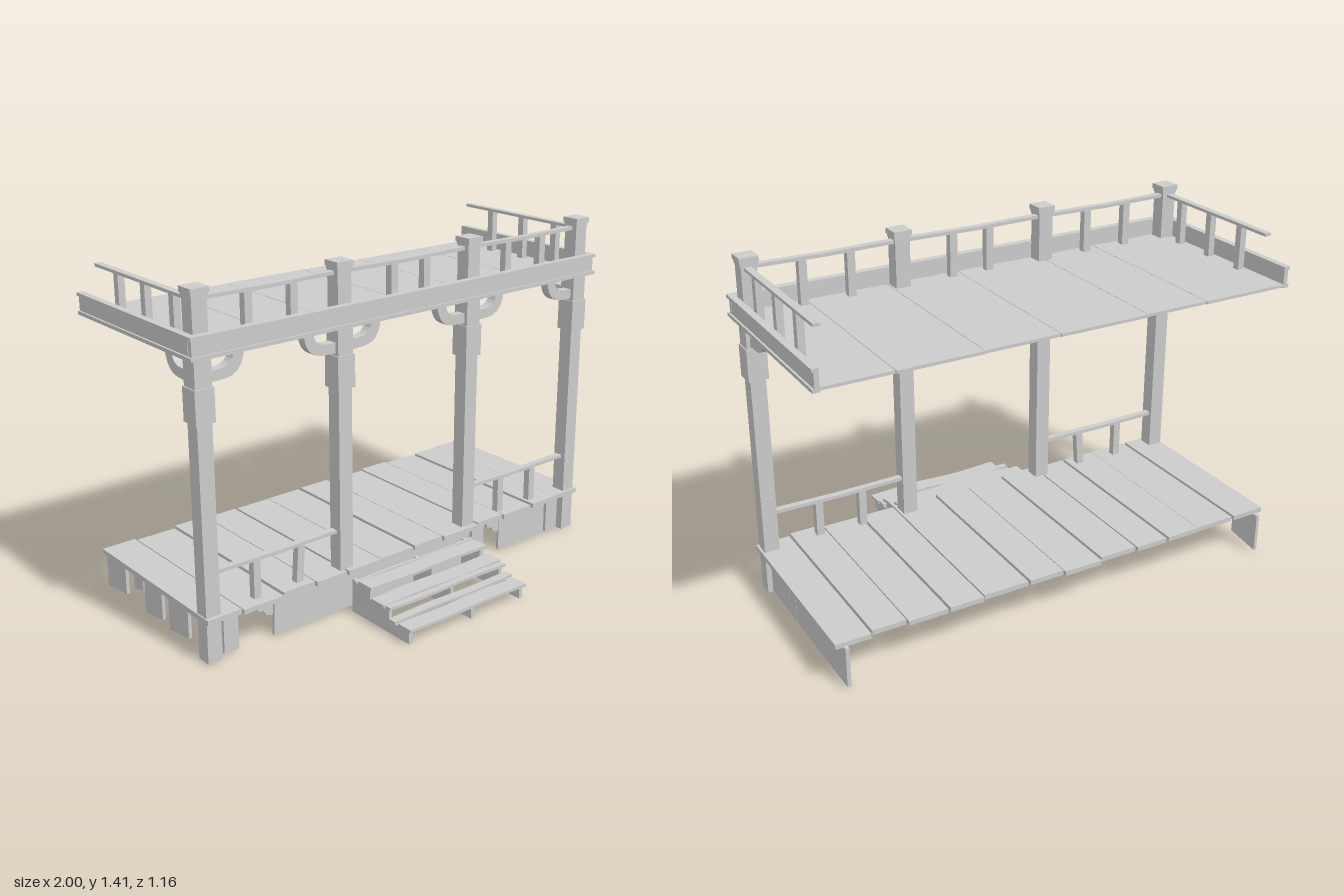
import * as THREE from 'three';

const material = new THREE.MeshStandardMaterial({ color: 0xcccccc, flatShading: true, side: THREE.DoubleSide });

export function createModel() {
  const model = new THREE.Group();
  model.name = 'porch';

  const add = (name, geometry, parent = model) => {
    const mesh = new THREE.Mesh(geometry, material);
    mesh.name = name;
    parent.add(mesh);
    return mesh;
  };
  // Box given by its limits on each axis
  const box = (name, [x0, x1], [y0, y1], [z0, z1], parent) => {
    const mesh = add(name, new THREE.BoxGeometry(x1 - x0, y1 - y0, z1 - z0), parent);
    mesh.position.set((x0 + x1) / 2, (y0 + y1) / 2, (z0 + z1) / 2);
    return mesh;
  };
  const around = (c, width) => [c - width / 2, c + width / 2];
  // Flat outline pushed out along z, centred on z = 0
  const slab = (points, depth) => new THREE.ExtrudeGeometry(
    new THREE.Shape(points.map(([x, y]) => new THREE.Vector2(x, y))),
    { depth, bevelEnabled: false }).translate(0, 0, -depth / 2);

  const postX = [-0.94, -0.325, 0.32, 0.935];
  const postZ = 0.18;

  // Curved bracket under the upper floor
  const arc = new THREE.Shape();
  arc.moveTo(0.03, 1.075);
  arc.lineTo(0.1, 1.078);
  arc.quadraticCurveTo(0.175, 1.085, 0.18, 1.178);
  arc.lineTo(0.137, 1.178);
  arc.quadraticCurveTo(0.135, 1.125, 0.09, 1.118);
  arc.lineTo(0.03, 1.115);
  const bracketGeometry = new THREE.ExtrudeGeometry(arc, { depth: 0.04, bevelEnabled: false, curveSegments: 5 })
    .translate(0, 0, -0.02);

  // Posts with collars, caps and brackets
  postX.forEach((x, i) => {
    const post = new THREE.Group();
    post.name = 'post';
    model.add(post);
    const outer = i === 0 || i === 3;
    const sections = [
      ['postShaft', outer ? 0.005 : 0.17, 1.4, 0.062],
      ['lowerCollar', 0.935, 1.065, 0.08],
      ['upperCollar', 1.065, 1.18, 0.07],
      ['capBand', 1.385, 1.397, 0.068],
      ['cap', 1.397, 1.418, 0.075],
    ];
    for (const [name, y0, y1, w] of sections) box(name, around(x, w), [y0, y1], around(postZ, w), post);
    const turns = [];
    if (i < 3) turns.push(0);
    if (i > 0) turns.push(Math.PI);
    if (outer) turns.push(Math.PI / 2);
    for (const turn of turns) {
      const bracket = add('bracket', bracketGeometry, post);
      bracket.position.set(x, 0, postZ);
      bracket.rotation.y = turn;
    }
  });

  // Lower deck of separate planks, slightly uneven
  const seams = [-0.98, -0.825, -0.64, -0.485, -0.335, -0.165, 0.01, 0.165, 0.365, 0.515, 0.685, 0.83, 0.98];
  for (let i = 0; i < seams.length - 1; i++) {
    const lift = [0, -0.004, 0.002, -0.002][i % 4];
    const shift = [0, 0.006, -0.005][i % 3];
    box('deckPlank', [seams[i] + 0.004, seams[i + 1] - 0.004], [0.173 + lift, 0.193 + lift],
      [-0.556 + shift, 0.228 + shift]);
  }

  // Upper floor of wide panels
  const floorSeams = [-0.98, -0.6, -0.33, 0.05, 0.36, 0.7, 0.98];
  for (let i = 0; i < floorSeams.length - 1; i++) {
    box('upperFloorPanel', [floorSeams[i] + 0.001, floorSeams[i + 1] - 0.001], [1.178, 1.19],
      [-0.56 + (i % 2) * 0.004, 0.215]);
  }

  // Fascia beams: a web with a flange along the top and bottom
  for (const [name, y0, y1, inset] of [
    ['bottomFlange', 1.174, 1.188, 0], ['fasciaWeb', 1.188, 1.247, 0.008], ['topFlange', 1.247, 1.26, 0]]) {
    box(name, [-1 + inset, 1 - inset], [y0, y1], [0.21 + inset / 2, 0.24 - inset]);
    for (const s of [-1, 1]) {
      const side = box(name, around(0, 0.027 - inset), [y0, y1], [-0.56, 0.21]);
      side.position.x = s * (0.9865 - inset / 2);
    }
  }

  // Front railings, upper and lower
  const rail = (x0, x1, y, floorY, balusters) => {
    const mid = (x0 + x1) / 2, sag = 0.004;
    add('rail', slab([[x0, y - 0.01], [mid, y - 0.01 - sag], [x1, y - 0.01],
      [x1, y + 0.004], [mid, y + 0.004 - sag], [x0, y + 0.004]], 0.028)).position.z = postZ - 0.005;
    for (const [x, lean] of balusters) {
      add('baluster', slab([[x - 0.016 - lean, floorY], [x + 0.016 - lean, floorY],
        [x + 0.016, y - 0.008], [x - 0.016, y - 0.008]], 0.03)).position.z = postZ - 0.005;
    }
  };
  rail(postX[0], postX[1], 1.378, 1.185, [[-0.73, 0], [-0.535, 0]]);
  rail(postX[1], postX[2], 1.378, 1.185, [[-0.07, 0], [0.093, 0]]);
  rail(postX[2], postX[3], 1.378, 1.185, [[0.53, 0], [0.725, 0]]);
  rail(postX[0], postX[1], 0.355, 0.185, [[-0.73, 0], [-0.525, 0.012]]);
  rail(postX[2], postX[3], 0.355, 0.185, [[0.53, 0], [0.72, 0]]);

  // Upper side railings, open at the back end
  for (const x of [-0.945, 0.94]) {
    box('sideRail', around(x, 0.028), [1.368, 1.38], [-0.48, 0.17]);
    for (const z of [0.06, -0.133, -0.323]) {
      box('sideBaluster', around(x, 0.028), [1.185, 1.37], around(z, 0.03));
    }
  }

  // Skirting boards along the front, with gaps
  for (const span of [[-0.885, -0.82], [-0.65, 0.355], [0.37, 0.44], [0.53, 0.81], [0.825, 0.895]]) {
    box('frontSkirting', span, [0.008, 0.175], [0.175, 0.187]);
  }
  // Broken board ends left hanging under the deck
  for (const x of [-0.74, 0.45]) {
    add('brokenBoard', slab([[x, 0.175], [x + 0.01, 0.13], [x + 0.035, 0.125], [x + 0.045, 0.105],
      [x + 0.075, 0.095], [x + 0.08, 0.175]], 0.012)).position.z = 0.181;
  }
  add('splitBoardEnd', slab([[-0.66, 0.008], [-0.6, 0.008], [-0.6, 0.175], [-0.655, 0.175]], 0.014)).position.z = 0.181;

  // Side skirting: whole on the left, broken on the right
  for (const span of [[-0.58, -0.106], [-0.104, -0.041], [-0.039, 0.15]]) {
    box('leftSkirting', [0.93, 0.945], [0.01, 0.175], span);
  }
  for (const [z0, z1, low] of [[-0.58, -0.43, 0.01], [-0.36, -0.29, 0.08], [-0.28, -0.15, 0.01], [-0.1, 0.04, 0.01]]) {
    const board = add('rightSkirting', slab([[-z0, 0.175], [-z0, low], [-z1, low + 0.02], [-z1, 0.175]], 0.014));
    board.rotation.y = Math.PI / 2;
    board.position.x = -0.94;
  }

  // Steps: three stepped stringers
  const steps = new THREE.Group();
  steps.name = 'steps';
  model.add(steps);
  for (const x of [-0.297, 0.022, 0.288]) {
    const stringer = add('stringer', slab([[-0.22, 0.003], [-0.22, 0.145], [-0.33, 0.145], [-0.33, 0.098],
      [-0.443, 0.098], [-0.443, 0.055], [-0.562, 0.055], [-0.562, 0.003]], 0.016), steps);
    stringer.rotation.y = Math.PI / 2;
    stringer.position.x = x;
  }
  // Treads, slightly warped along their length
  for (const [z0, z1, y, bend] of [
    [0.503, 0.575, 0.056, 0.003], [0.452, 0.49, 0.06, -0.004],
    [0.428, 0.456, 0.1, 0.004], [0.345, 0.422, 0.102, -0.003],
    [0.265, 0.342, 0.14, 0.003], [0.243, 0.256, 0.138, -0.003]]) {
    const tread = new THREE.BoxGeometry(0.62, 0.012, z1 - z0, 8, 1, 1);
    const p = tread.attributes.position;
    for (let i = 0; i < p.count; i++) {
      const wave = Math.sin(p.getX(i) * 14);
      p.setY(i, p.getY(i) + bend * wave);
      p.setZ(i, p.getZ(i) + bend * 0.6 * wave);
    }
    add('tread', tread, steps).position.set(-0.002, y + 0.006, (z0 + z1) / 2);
  }

  return model;
}
